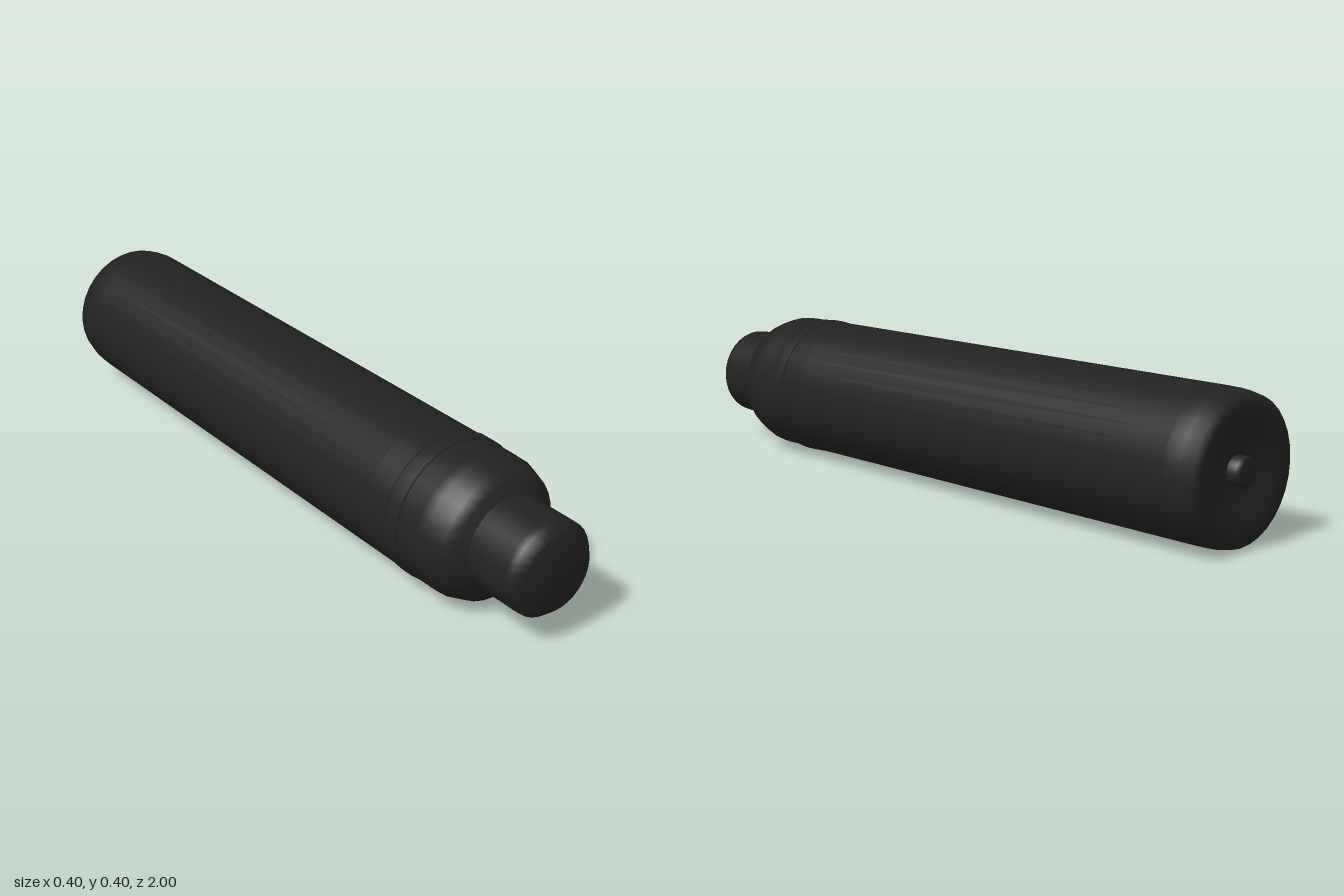
import * as THREE from 'three';

export function createModel() {
  const group = new THREE.Group();
  const black = new THREE.MeshStandardMaterial({ color: 0x222222 });
  black.name = 'black';

  // Turns a [radius, z] profile (back to front) about the long axis
  const turned = (name, profile) => {
    const points = profile.map(([r, z]) => new THREE.Vector2(r, z));
    const geometry = new THREE.LatheGeometry(points, 32).rotateX(Math.PI / 2);
    const mesh = new THREE.Mesh(geometry, black);
    mesh.name = name;
    mesh.position.y = 0.202;
    group.add(mesh);
  };

  // Long barrel with a bevelled rim and a shallow dished rear end
  turned('barrel', [
    [0, -0.965], [0.05, -0.967], [0.09, -0.975], [0.13, -0.985], [0.16, -0.988],
    [0.19, -0.985], [0.198, -0.945], [0.199, -0.9], [0.199, 0.5], [0.199, 0.58],
  ]);

  // Button in the middle of the dish
  turned('rearButton', [[0, -1], [0.03, -1], [0.04, -0.993], [0.04, -0.96]]);

  // Raised band around the joint
  turned('band', [
    [0.19, 0.578], [0.2, 0.578], [0.202, 0.584], [0.202, 0.626], [0.2, 0.632], [0.19, 0.632],
  ]);

  // Shoulder narrowing towards the nose
  turned('shoulder', [
    [0.198, 0.58], [0.198, 0.7], [0.197, 0.73], [0.18, 0.783], [0.155, 0.803], [0.128, 0.82],
  ]);

  // Nose plug with a bevelled front edge
  turned('nose', [
    [0.13, 0.79], [0.13, 0.82], [0.13, 0.95], [0.129, 0.97], [0.105, 0.997], [0, 1],
  ]);

  return group;
}
